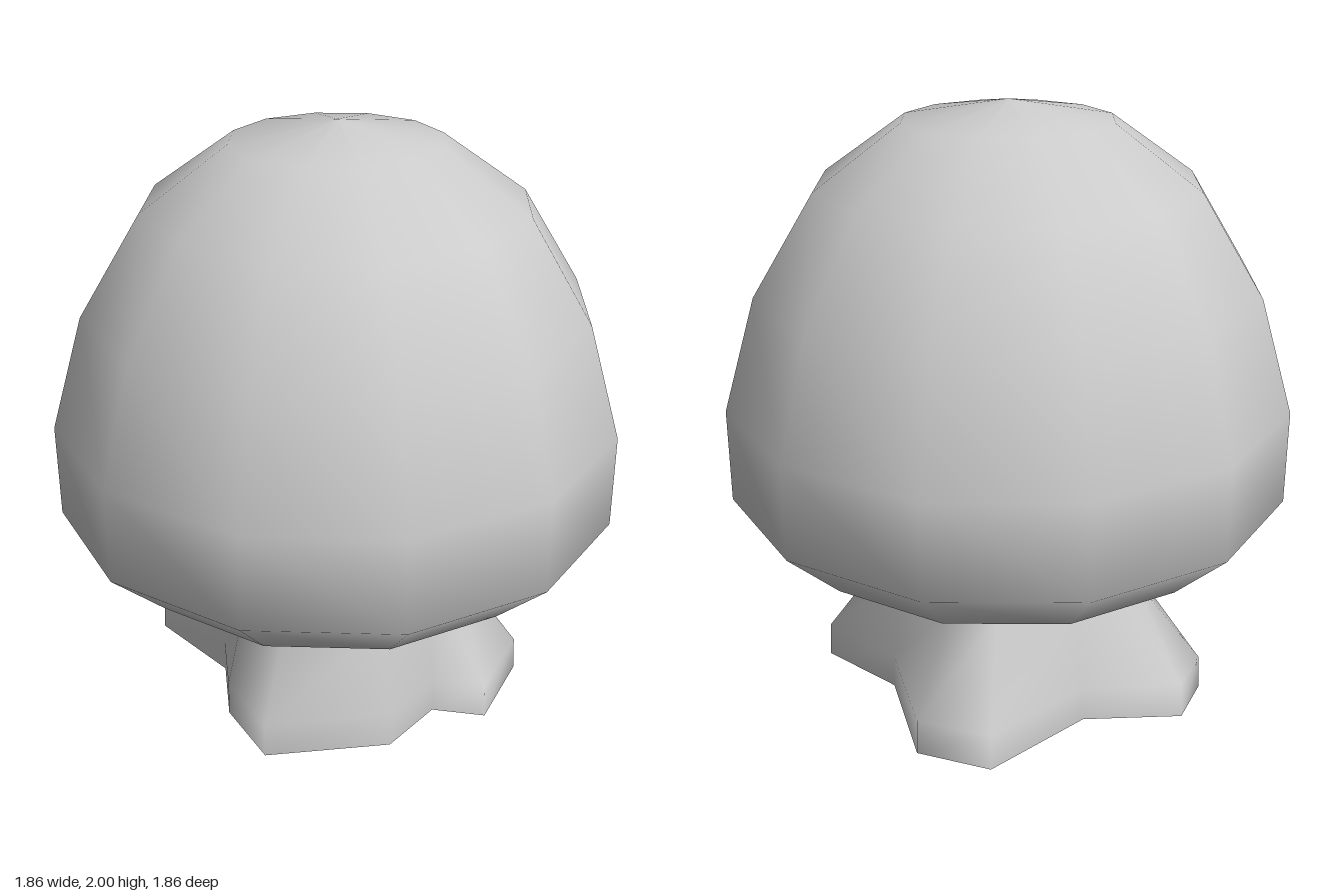
import * as THREE from 'three';

const grey = () => new THREE.MeshStandardMaterial({ color: 0xcccccc, side: THREE.DoubleSide });

// Rounded crown: a smooth-shaded lathe with twelve sides
function makeCrown() {
  const profile = [
    [0, 0.45], [0.4, 0.46], [0.74, 0.56], [0.93, 0.74], [0.93, 1.05],
    [0.82, 1.42], [0.62, 1.74], [0.34, 1.94], [0, 2],
  ].map(([r, y]) => new THREE.Vector2(r, y));
  const crown = new THREE.Mesh(new THREE.LatheGeometry(profile, 12), grey());
  crown.name = 'crown';
  return crown;
}

// Hollow trunk: an uneven four-rooted outline that narrows to a near-round neck
function makeTrunk() {
  // ground outline as x, z pairs, anticlockwise from above
  const outline = [
    [-0.03, 0.48], [0.23, 0.535], [0.47, 0.19], [0.435, -0.05],
    [0.58, -0.16], [0.46, -0.45], [0.14, -0.42], [-0.21, -0.62],
    [-0.44, -0.51], [-0.46, -0.1], [-0.68, 0.15], [-0.61, 0.33], [-0.24, 0.33],
  ];
  // height, and how far each ring keeps the root outline
  const rings = [[0, 1], [0.12, 0.98], [0.41, 0.14], [0.5, 0.14]];
  const neck = 0.39;
  const n = outline.length;
  const positions = [];
  const index = [];
  rings.forEach(([y, keep], j) => {
    outline.forEach(([x, z], i) => {
      const r = Math.hypot(x, z);
      const scale = THREE.MathUtils.lerp(neck / r, 1, keep);
      positions.push(x * scale, y, z * scale);
      if (j === rings.length - 1) return;
      const a = j * n + i;
      const b = j * n + (i + 1) % n;
      index.push(a, b, b + n, a, b + n, a + n);
    });
  });
  const geometry = new THREE.BufferGeometry();
  geometry.setAttribute('position', new THREE.Float32BufferAttribute(positions, 3));
  geometry.setIndex(index);
  geometry.computeVertexNormals();
  const trunk = new THREE.Mesh(geometry, grey());
  trunk.name = 'trunk';
  return trunk;
}

export function createModel() {
  const model = new THREE.Group();
  model.name = 'roundTree';
  model.add(makeCrown(), makeTrunk());
  return model;
}
